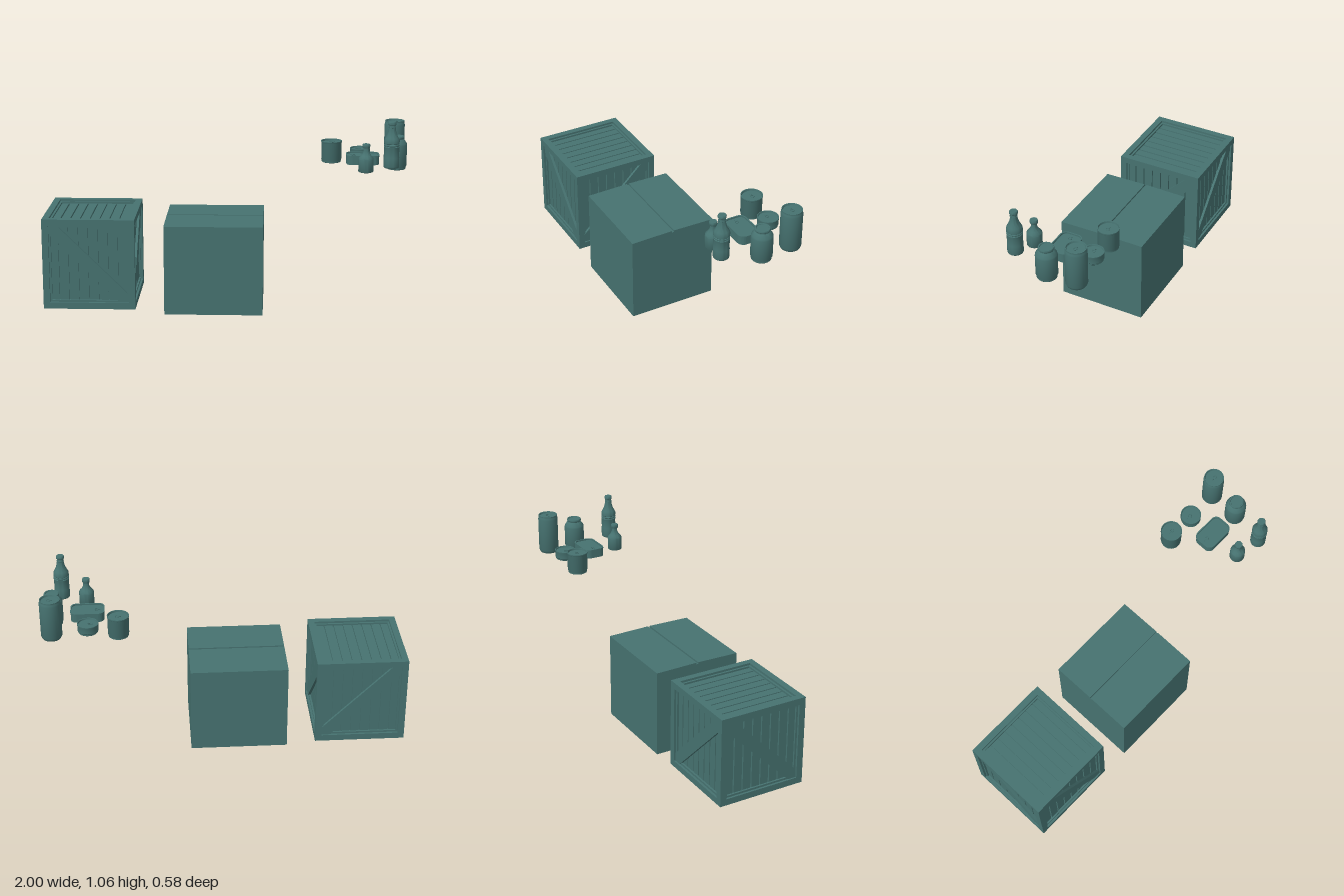
import * as THREE from 'three';
import { toCreasedNormals } from 'three/addons/utils/BufferGeometryUtils.js';

const material = new THREE.MeshStandardMaterial({ color: 0x467270, side: THREE.DoubleSide });

function part(parent, name, geometry, x = 0, y = 0, z = 0) {
  const mesh = new THREE.Mesh(geometry, material);
  mesh.name = name;
  mesh.position.set(x, y, z);
  parent.add(mesh);
  return mesh;
}

function group(parent, name, x, y, z) {
  const g = new THREE.Group();
  g.name = name;
  g.position.set(x, y, z);
  parent.add(g);
  return g;
}

const box = (w, h, d) => new THREE.BoxGeometry(w, h, d);
const polygon = (points) => new THREE.Shape(points.map(([x, y]) => new THREE.Vector2(x, y)));
// profile is a list of [radius, height] from bottom to top
const turned = (profile) => toCreasedNormals(
  new THREE.LatheGeometry(profile.map(([r, y]) => new THREE.Vector2(r, y)), 32), 0.6);

// ---- Wooden crate ----
const HALF = 0.253, BEAM = 0.036, INNER = HALF - BEAM;

function braceGeometry() {
  const i = INNER, c = 0.046;
  const shape = polygon([[-i, i], [-i, i - c], [i - c, -i], [i, -i], [i, -i + c], [-i + c, i]]);
  return new THREE.ExtrudeGeometry(shape, { depth: 0.015, bevelEnabled: false });
}

// One crate side, built facing +z
function crateSide(crate, name, rx, ry, braceTurn, acrossPlanks = false) {
  const side = group(crate, name, 0, 0, 0);
  side.rotation.set(rx, ry, 0);
  const count = 8, pitch = 2 * INNER / count;
  for (let k = 0; k < count; k++) {
    const offset = -INNER + pitch * (k + 0.5);
    const plank = part(side, 'plank', box(pitch - 0.007, 2 * INNER, 0.012), offset, 0, HALF - 0.028);
    if (acrossPlanks) {
      plank.rotation.z = Math.PI / 2;
      plank.position.set(0, offset, HALF - 0.028);
    }
  }
  // thin inner moulding
  const w = 0.011, m = INNER - w / 2;
  for (const s of [-1, 1]) {
    part(side, 'moulding', box(w, 2 * INNER, 0.014), s * m, 0, HALF - 0.019);
    part(side, 'moulding', box(2 * INNER, w, 0.014), 0, s * m, HALF - 0.019);
  }
  if (braceTurn !== null) {
    part(side, 'diagonalBrace', braceGeometry(), 0, 0, HALF - 0.023).rotation.z = braceTurn;
  }
}

function buildCrate(model) {
  const crate = group(model, 'crate', -0.747, 0.278, 0.033);
  const core = 2 * (HALF - 0.035), e = HALF - BEAM / 2;
  part(crate, 'crateCore', box(core, core, core));
  // twelve edge beams
  for (const a of [-1, 1]) for (const b of [-1, 1]) {
    part(crate, 'edgePost', box(BEAM, 2 * HALF, BEAM), a * e, 0, b * e);
    part(crate, 'edgeBeamX', box(2 * INNER, BEAM, BEAM), 0, a * e, b * e);
    part(crate, 'edgeBeamZ', box(BEAM, BEAM, 2 * INNER), a * e, b * e, 0);
  }
  const q = Math.PI / 2;
  crateSide(crate, 'crateFront', 0, 0, 0);
  crateSide(crate, 'crateBack', 0, Math.PI, q);
  crateSide(crate, 'crateLeft', 0, q, q);
  crateSide(crate, 'crateRight', 0, -q, 0);
  crateSide(crate, 'crateTop', -q, 0, null);
  crateSide(crate, 'crateBottom', q, 0, null, true);
}

// ---- Cardboard box: end outline with slightly raised flaps and a slit, run along x ----
function buildCarton(model) {
  const d = 0.2515, slit = 0.006;
  const end = polygon([[-d, 0], [d, 0], [d, 0.498], [slit, 0.502], [slit, 0.492],
    [-slit, 0.492], [-slit, 0.502], [-d, 0.498]]);
  const geometry = new THREE.ExtrudeGeometry(end, { depth: 0.54, bevelEnabled: false });
  geometry.translate(0, 0, -0.27).rotateY(Math.PI / 2);
  part(model, 'cardboardBox', geometry, -0.065, 0, 0.039);
}

// ---- Pull tab lying on a lid ----
function pullTab(parent, x, y, z) {
  const tab = group(parent, 'pullTab', x, y, z);
  const ring = part(tab, 'tabRing', new THREE.TorusGeometry(0.009, 0.002, 6, 16), 0.006, 0, 0);
  ring.rotation.x = Math.PI / 2;
  part(tab, 'tabNose', box(0.014, 0.003, 0.008), -0.008, 0, 0);
  part(tab, 'tabRivet', new THREE.CylinderGeometry(0.003, 0.003, 0.005, 10), -0.009, 0, 0);
}

// ---- Round cans ----
function can(model, name, x, y, z, profile, tabX, tabY) {
  const g = group(model, name, x, y, z);
  part(g, 'canShell', turned(profile));
  pullTab(g, tabX, tabY, 0);
}

function buildCans(model) {
  can(model, 'foodCan', 0.586, 0.757, -0.217, [
    [0, 0.004], [0.049, 0.004], [0.051, 0], [0.054, 0.002], [0.054, 0.012], [0.057, 0.018],
    [0.057, 0.112], [0.059, 0.115], [0.059, 0.122], [0.055, 0.122], [0.053, 0.112], [0, 0.112],
  ], 0, 0.115);
  can(model, 'shortCan', 0.748, 0.785, -0.217, [
    [0, 0.003], [0.048, 0.003], [0.05, 0], [0.053, 0.003], [0.053, 0.009], [0.056, 0.013],
    [0.056, 0.044], [0.057, 0.047], [0.057, 0.053], [0.053, 0.053], [0.051, 0.045], [0, 0.045],
  ], -0.014, 0.048);
  can(model, 'drinkCan', 0.941, 0.764, -0.23, [
    [0, 0.01], [0.035, 0.006], [0.044, 0], [0.049, 0.002], [0.053, 0.009], [0.057, 0.018],
    [0.057, 0.208], [0.055, 0.22], [0.053, 0.225], [0.054, 0.231], [0.05, 0.231],
    [0.047, 0.222], [0, 0.222],
  ], 0, 0.225);
}

// ---- Rectangular tin with rounded corners ----
function roundedOutline(w, d, r) {
  const s = new THREE.Shape(), x = w / 2 - r, y = d / 2 - r, q = Math.PI / 2;
  [[x, y], [-x, y], [-x, -y], [x, -y]].forEach(([cx, cy], k) => s.absarc(cx, cy, r, k * q, (k + 1) * q));
  s.closePath();
  return s;
}

function slab(shape, height) {
  const g = new THREE.ExtrudeGeometry(shape, { depth: height, bevelEnabled: false, curveSegments: 8 });
  g.rotateX(-Math.PI / 2);
  return toCreasedNormals(g, 0.6);
}

function buildTin(model) {
  const tin = group(model, 'flatTin', 0.753, 0.784, -0.057);
  part(tin, 'tinBody', slab(roundedOutline(0.18, 0.118, 0.033), 0.044));
  const rim = roundedOutline(0.184, 0.122, 0.035);
  rim.holes.push(roundedOutline(0.17, 0.108, 0.028));
  part(tin, 'tinRim', slab(rim, 0.01), 0, 0.042, 0);
  pullTab(tin, -0.055, 0.046, 0);
}

// ---- Jar and bottles ----
function buildGlassware(model) {
  const jar = group(model, 'jar', 0.941, 0.754, -0.059);
  part(jar, 'jarBody', turned([
    [0, 0.004], [0.046, 0.004], [0.05, 0], [0.053, 0.004], [0.053, 0.014], [0.057, 0.022],
    [0.057, 0.136], [0.055, 0.145], [0.043, 0.163], [0.038, 0.168], [0.038, 0.174],
  ]));
  part(jar, 'jarLid', turned([
    [0, 0.172], [0.039, 0.172], [0.041, 0.175], [0.041, 0.181], [0.039, 0.185], [0.033, 0.185],
    [0.031, 0.18], [0, 0.18],
  ]));

  const small = group(model, 'smallBottle', 0.761, 0.772, 0.119);
  part(small, 'smallBottleBody', turned([
    [0, 0.003], [0.034, 0], [0.039, 0.002], [0.041, 0.006], [0.041, 0.073], [0.039, 0.08],
    [0.028, 0.092], [0.021, 0.103], [0.016, 0.116], [0.015, 0.137],
  ]));
  part(small, 'smallBottleCap', turned([
    [0, 0.134], [0.019, 0.134], [0.021, 0.138], [0.021, 0.152], [0.019, 0.156], [0, 0.156],
  ]));

  const tall = group(model, 'tallBottle', 0.896, 0.805, 0.15);
  part(tall, 'tallBottleBody', turned([
    [0, 0.003], [0.038, 0], [0.041, 0.003], [0.042, 0.008], [0.042, 0.055], [0.041, 0.06],
    [0.041, 0.108], [0.042, 0.112], [0.042, 0.116], [0.039, 0.119], [0.042, 0.122], [0.042, 0.128],
    [0.039, 0.131], [0.042, 0.134], [0.042, 0.15], [0.037, 0.162], [0.03, 0.174], [0.024, 0.19],
    [0.02, 0.205], [0.017, 0.235],
  ]));
  part(tall, 'tallBottleNeckRing', new THREE.TorusGeometry(0.017, 0.003, 8, 28), 0, 0.222, 0)
    .rotation.x = Math.PI / 2;
  part(tall, 'tallBottleCap', turned([
    [0, 0.234], [0.019, 0.234], [0.022, 0.238], [0.022, 0.248], [0.019, 0.253], [0, 0.253],
  ]));
}

export function createModel() {
  const model = new THREE.Group();
  model.name = 'containers';
  buildCrate(model);
  buildCarton(model);
  buildCans(model);
  buildTin(model);
  buildGlassware(model);
  return model;
}
